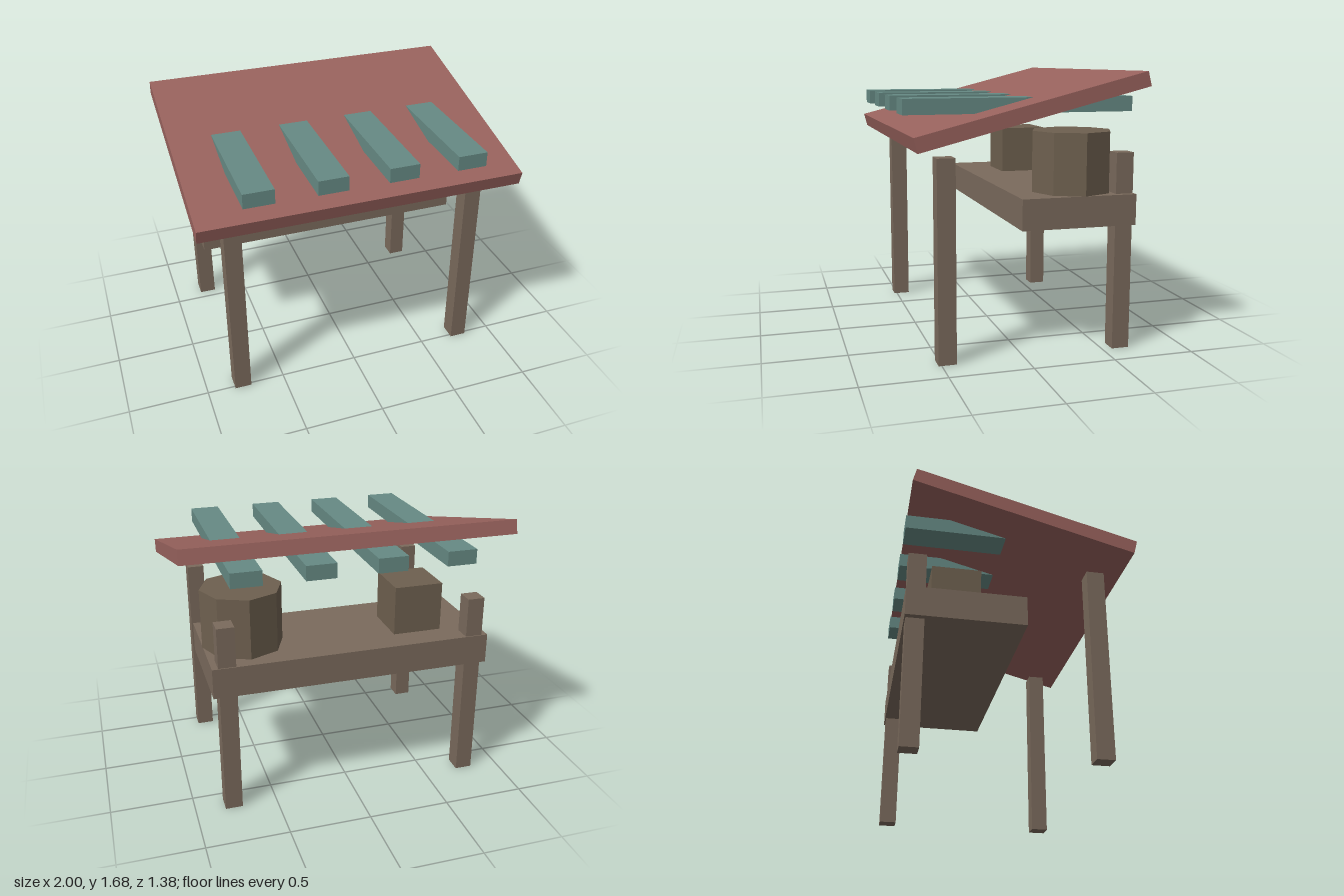
import * as THREE from 'three';

export function createModel() {
  const stall = new THREE.Group();
  stall.name = 'marketStall';

  const material = (color) => new THREE.MeshStandardMaterial({ color, flatShading: true });
  const wood = material(0x7a6a5c);
  const crateWood = material(0x6e604f);
  const roofRed = material(0x98625d);
  const slatTeal = material(0x668a84);

  function add(name, geometry, mat, x, y, z) {
    const mesh = new THREE.Mesh(geometry, mat);
    mesh.name = name;
    mesh.position.set(x, y, z);
    stall.add(mesh);
    return mesh;
  }

  // Four corner posts
  const postGeometry = new THREE.BoxGeometry(0.105, 1.2, 0.108);
  for (const [side, x] of [['left', 0.768], ['right', -0.772]]) {
    add(side + 'FrontPost', postGeometry, wood, x, 0.6, 0.465);
    add(side + 'BackPost', postGeometry, wood, x, 0.6, -0.615);
  }

  // Counter slab towards the back
  add('counter', new THREE.BoxGeometry(1.718, 0.185, 0.706), wood, -0.002, 0.863, -0.323);

  // Goods on the counter: an eight-sided barrel and a cubic crate
  add('barrel', new THREE.CylinderGeometry(0.247, 0.247, 0.367, 8), crateWood, 0.613, 1.139, -0.355);
  add('crate', new THREE.BoxGeometry(0.306, 0.306, 0.306), crateWood, -0.462, 1.108, -0.355);

  // Sloping roof, low at the front
  const roof = add('roof', new THREE.BoxGeometry(2, 0.087, 1.38), roofRed, 0, 1.463, 0);
  roof.rotation.x = 0.25;

  // Level slats passing through the roof
  const slatGeometry = new THREE.BoxGeometry(0.183, 0.09, 1.382);
  for (let i = 0; i < 4; i++) {
    add('roofSlat' + (i + 1), slatGeometry, slatTeal, -0.647 + i * 0.43, 1.481, 0);
  }

  return stall;
}
